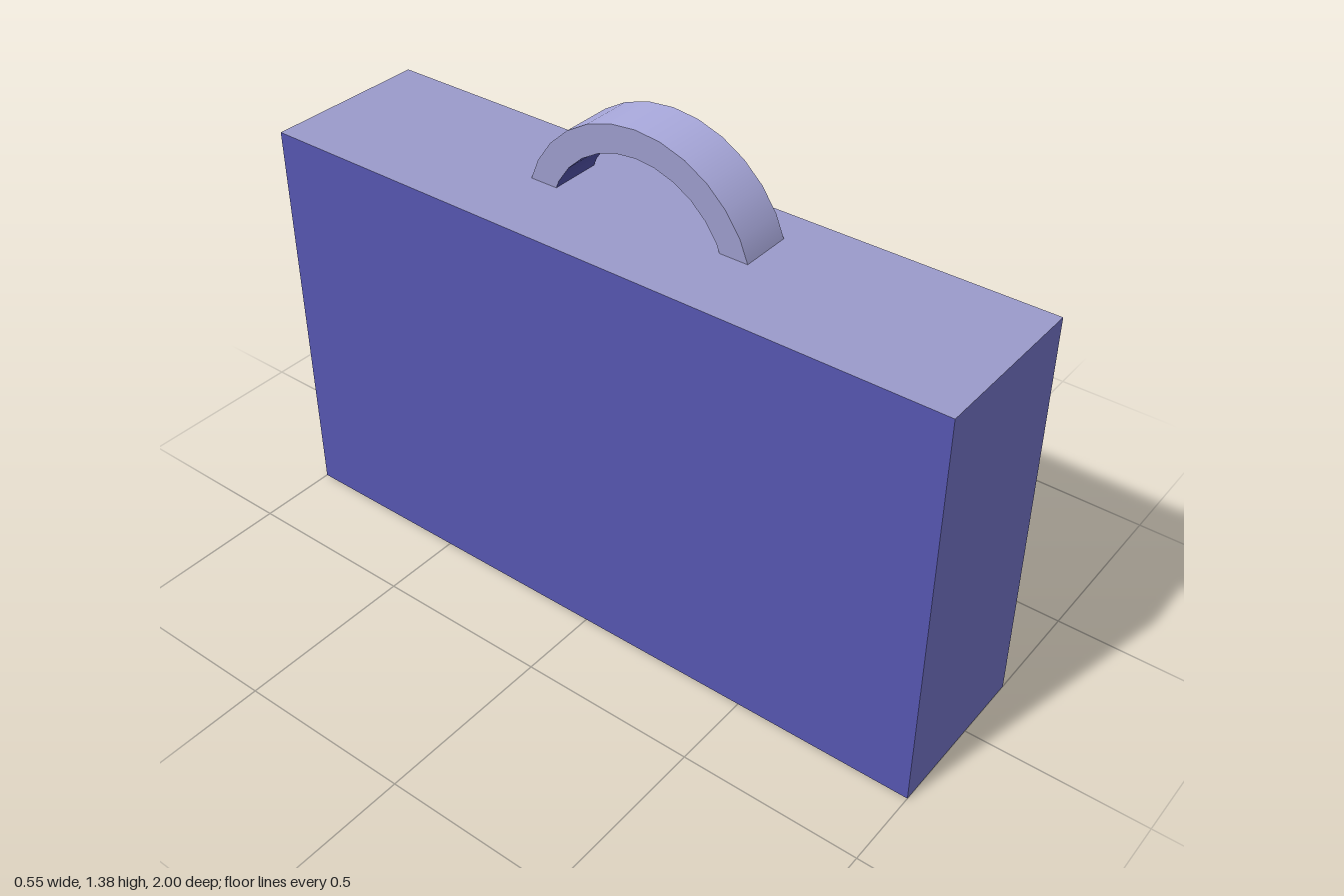
import * as THREE from 'three';

const mat = (name, color, side = THREE.FrontSide) => {
  const m = new THREE.MeshStandardMaterial({ color, side });
  m.name = name;
  return m;
};

export function createModel() {
  const group = new THREE.Group();
  const casing = mat('casing blue', 0x7777cc);
  const back = mat('deep blue', 0x5555b0, THREE.DoubleSide);
  const pale = mat('pale lavender', 0x9b9bcb);
  const grip = mat('grip lavender', 0xababdf);
  const rimBlue = mat('rim blue', 0x5e5cbc);
  const innerBlue = mat('inner ring blue', 0x37349a);
  const cone = mat('speaker cone navy', 0x363670);
  const knobGrey = mat('knob charcoal', 0x3f3f3f);

  const add = (parent, name, geometry, material) => {
    const mesh = new THREE.Mesh(geometry, material);
    mesh.name = name;
    parent.add(mesh);
    return mesh;
  };

  // Casing: the grille side looks along +x
  const faceX = 0.195;
  add(group, 'casing', new THREE.BoxGeometry(0.47, 1.14, 2),
    [casing, back, pale, casing, casing, casing]).position.set(-0.04, 0.57, 0);

  // Round parts turned about the x axis; each band is its own surface, so edges stay sharp
  const turned = (parent, name, bands, segments) => {
    bands.forEach(([r0, x0, r1, x1, material]) => {
      const geometry = new THREE.LatheGeometry(
        [new THREE.Vector2(r0, x0), new THREE.Vector2(r1, x1)], segments);
      geometry.rotateZ(-Math.PI / 2);
      add(parent, name, geometry, material);
    });
  };

  // Speakers: outer wall, bevel, inner slope, recess wall and cone
  for (const z of [0.56, -0.515]) {
    const speaker = new THREE.Group();
    speaker.name = 'speaker';
    speaker.position.set(faceX, 0.57, z);
    turned(speaker, 'speakerRim', [
      [0.353, 0, 0.353, 0.053, rimBlue],
      [0.353, 0.053, 0.297, 0.076, rimBlue],
    ], 28);
    turned(speaker, 'speakerInnerRing', [
      [0.297, 0.076, 0.243, 0.045, innerBlue],
      [0.243, 0.045, 0.243, 0.012, innerBlue],
    ], 28);
    turned(speaker, 'speakerCone', [[0.243, 0.012, 0, 0.012, cone]], 28);
    group.add(speaker);
  }

  // Tuning knob
  const knob = new THREE.Group();
  knob.name = 'knob';
  knob.position.set(faceX, 0.92, -0.02);
  turned(knob, 'knob', [
    [0.11, 0, 0.11, 0.024, knobGrey],
    [0.11, 0.024, 0.1, 0.035, knobGrey],
    [0.1, 0.035, 0, 0.035, knobGrey],
  ], 12);
  group.add(knob);

  // Carrying handle: an arch whose ends sink into the casing
  const handle = new THREE.Group();
  handle.name = 'handle';
  handle.position.set(0.018, 1.033, 0);
  const outer = 0.347, inner = 0.272, width = 0.146, half = 1.29, steps = 12;
  const arc = (radius) => new THREE.CylinderGeometry(radius, radius, width, steps, 1, true,
    Math.PI * 1.5 - half, half * 2).rotateZ(-Math.PI / 2);
  add(handle, 'handleTop', arc(outer), grip);
  add(handle, 'handleUnderside', arc(inner), back);
  for (const s of [1, -1]) {
    const side = new THREE.RingGeometry(inner, outer, steps, 1, Math.PI / 2 - half, half * 2);
    side.rotateY(s * Math.PI / 2).translate(s * width / 2, 0, 0);
    add(handle, 'handleSide', side, s > 0 ? casing : pale);
  }
  group.add(handle);

  return group;
}
